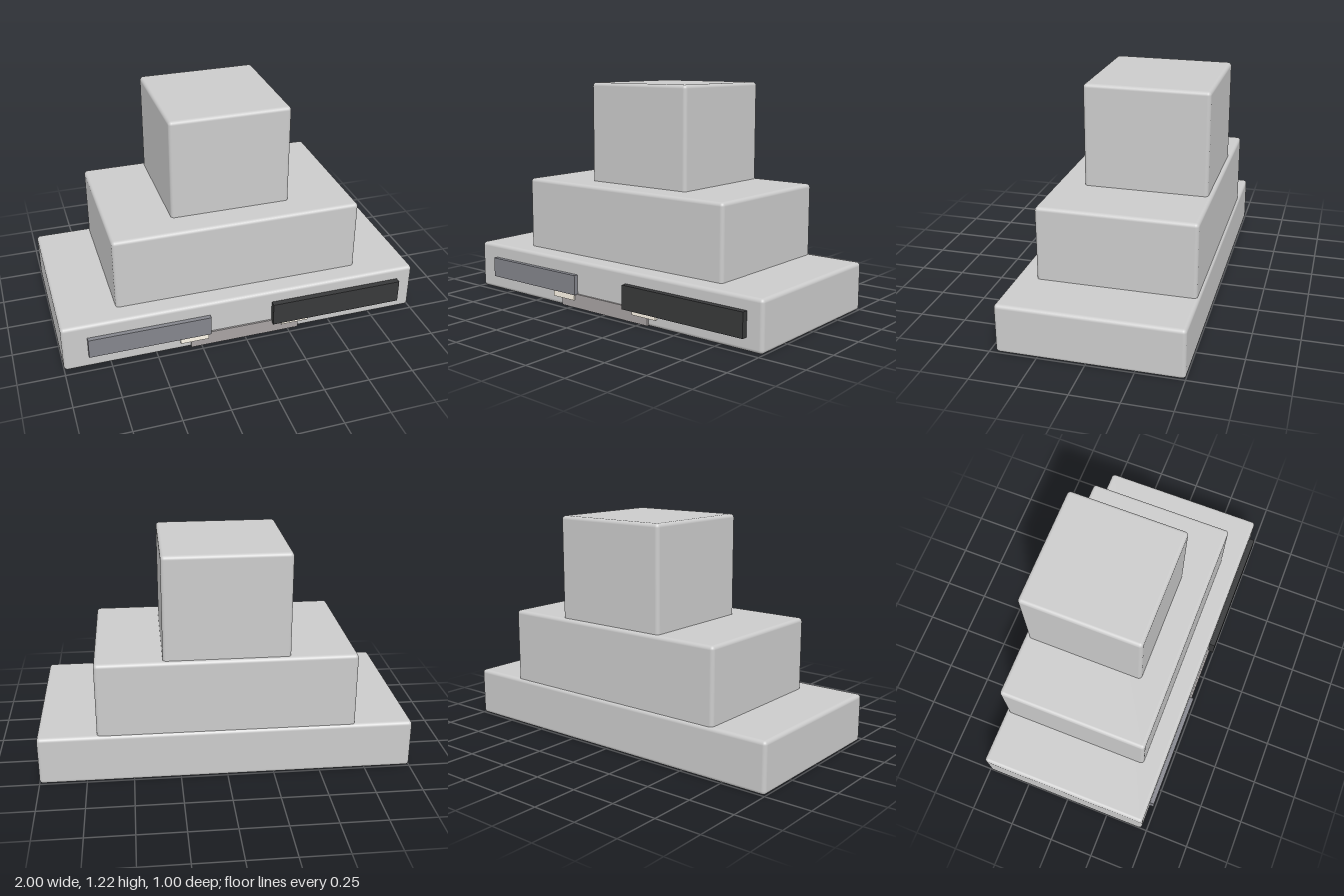
import * as THREE from 'three';
import { RoundedBoxGeometry } from 'three/addons/geometries/RoundedBoxGeometry.js';

export function createModel() {
  const model = new THREE.Group();
  model.name = 'steppedTower';

  // Adds a box given its extents on each axis; radius > 0 rounds the edges
  function addBox(name, [x0, x1], [y0, y1], [z0, z1], color, radius = 0) {
    const size = [x1 - x0, y1 - y0, z1 - z0];
    const geometry = radius > 0
      ? new RoundedBoxGeometry(...size, 4, radius)
      : new THREE.BoxGeometry(...size);
    const mesh = new THREE.Mesh(geometry, new THREE.MeshStandardMaterial({ color }));
    mesh.name = name;
    mesh.position.set((x0 + x1) / 2, (y0 + y1) / 2, (z0 + z1) / 2);
    model.add(mesh);
  }

  // Three stacked tiers, each sunk a little into the one below
  const grey = 0xcccccc;
  addBox('baseTier', [-1, 1], [0, 0.267], [-0.5, 0.467], grey, 0.02);
  addBox('middleTier', [-0.687, 0.687], [0.23, 0.668], [-0.488, 0.355], grey, 0.02);
  addBox('topTier', [-0.333, 0.333], [0.63, 1.224], [-0.467, 0.2], grey, 0.02);

  // Plates mounted on the front of the base
  const back = 0.45;
  addBox('rightPanel', [-0.867, -0.2], [0.08, 0.19], [back, 0.492], 0x84858c);
  addBox('leftPanel', [0.153, 0.91], [0.07, 0.2], [back, 0.5], 0x38393a);
  addBox('centrePlate', [-0.31, 0.307], [0.005, 0.083], [back, 0.477], 0xa8a3a3);

  // Pale tabs beneath the two panels
  addBox('rightTab', [-0.37, -0.213], [0.047, 0.083], [back, 0.484], 0xfff8ea);
  addBox('leftTab', [0.207, 0.365], [0.047, 0.083], [back, 0.484], 0xfff8ea);

  return model;
}
